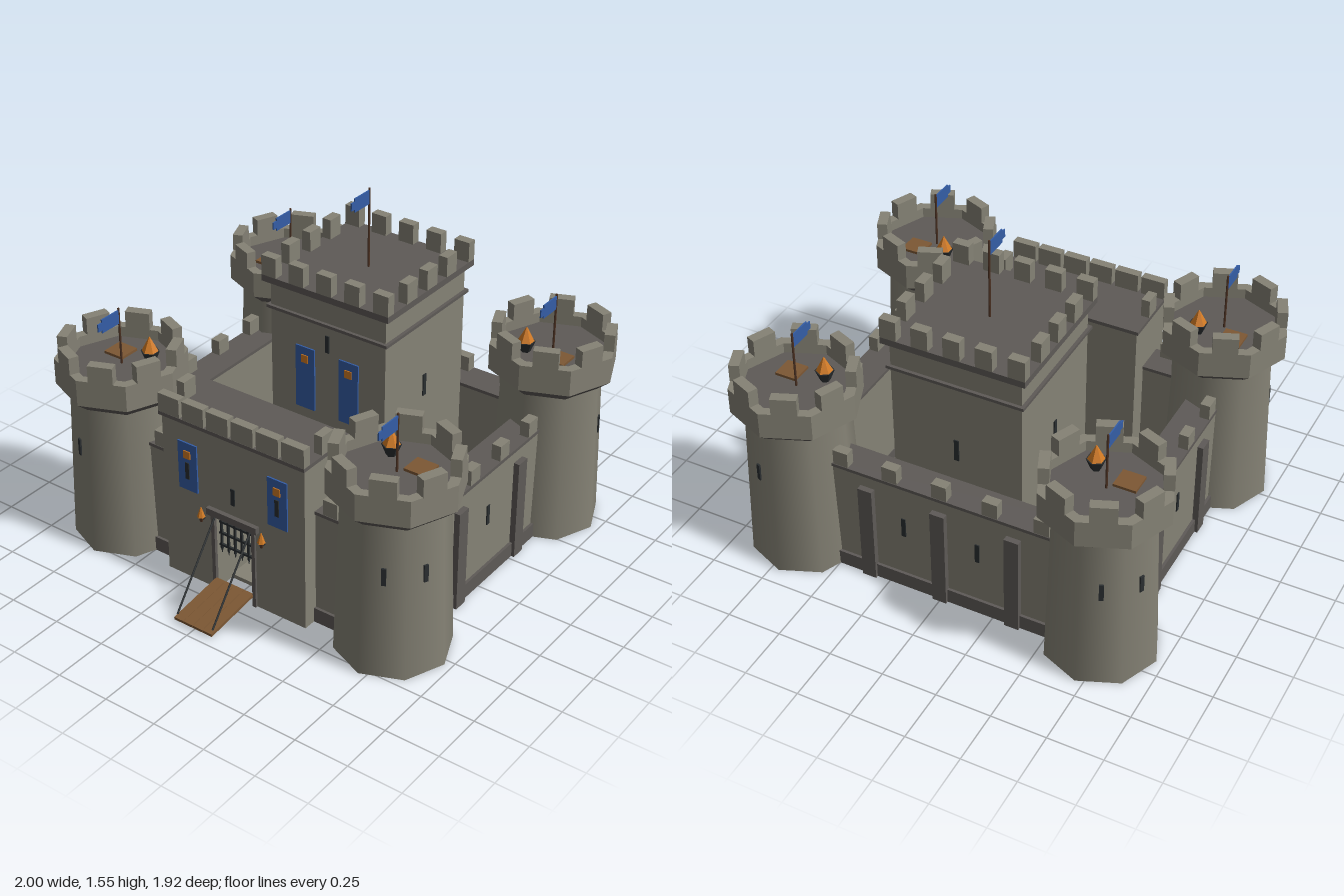
import * as THREE from 'three';

const mat = (name, color, opts = {}) => Object.assign(new THREE.MeshStandardMaterial({ color, ...opts }), { name });

export function createModel() {
  const stone = mat('stone', 0x858275);
  const dark = mat('dark stone', 0x5e5a57);
  const iron = mat('iron', 0x2a2e30);
  const wood = mat('wood', 0x7d5834);
  const darkWood = mat('dark wood', 0x4c3223);
  const blue = mat('blue cloth', 0x345da6);
  const orange = mat('orange', 0xd07a24);
  blue.side = THREE.DoubleSide;

  const root = new THREE.Group();
  root.name = 'castle';
  const group = (name, x = 0, y = 0, z = 0, parent = root) => {
    const g = new THREE.Group();
    g.name = name;
    g.position.set(x, y, z);
    parent.add(g);
    return g;
  };
  const add = (parent, name, geo, m, x = 0, y = 0, z = 0) => {
    const mesh = new THREE.Mesh(geo, m);
    mesh.name = name;
    mesh.position.set(x, y, z);
    parent.add(mesh);
    return mesh;
  };
  // Box given by its centre in x and z and its bottom and top in y
  const box = (parent, name, m, x, z, w, d, y0, y1) =>
    add(parent, name, new THREE.BoxGeometry(w, y1 - y0, d), m, x, (y0 + y1) / 2, z);
  const cyl = (parent, name, m, x, z, r0, r1, y0, y1, n = 8, flat = true) => {
    let geo = new THREE.CylinderGeometry(r1, r0, y1 - y0, n);
    if (flat) { geo = geo.toNonIndexed(); geo.computeVertexNormals(); }
    return add(parent, name, geo, m, x, (y0 + y1) / 2, z);
  };

  // Octagonal ring standing on y = 0
  const octRing = (outer, inner, h) => {
    const pts = r => Array.from({ length: 8 }, (_, i) =>
      new THREE.Vector2(r * Math.cos(i * Math.PI / 4), r * Math.sin(i * Math.PI / 4)));
    const s = new THREE.Shape(pts(outer));
    s.holes.push(new THREE.Path(pts(inner)));
    return new THREE.ExtrudeGeometry(s, { depth: h, bevelEnabled: false }).rotateX(-Math.PI / 2);
  };

  // Pole with a flag flying towards +z
  const flag = (parent, x, z, y0, y1) => {
    cyl(parent, 'flagPole', darkWood, x, z, 0.005, 0.005, y0, y1, 6);
    const s = new THREE.Shape([[0, 0], [0.108, 0], [0.108, 0.014], [0.132, 0.014], [0.132, 0.05], [0.108, 0.05], [0.108, 0.064], [0, 0.064]]
      .map(p => new THREE.Vector2(...p)));
    const geo = new THREE.ExtrudeGeometry(s, { depth: 0.006, bevelEnabled: false }).rotateY(-Math.PI / 2);
    add(parent, 'flag', geo, blue, x + 0.003, y1 - 0.072, z);
  };

  // Hanging banner facing +z with an orange emblem
  const banner = (parent, x, z, y0, y1) => {
    box(parent, 'banner', blue, x, z, 0.1, 0.009, y0, y1);
    box(parent, 'bannerEmblem', orange, x, z + 0.006, 0.036, 0.006, y1 - 0.075, y1 - 0.038);
  };

  // Ground
  box(root, 'courtyard', stone, 0, -0.075, 1.5, 1.3, 0.001, 0.02);

  // Corner towers
  for (const sx of [-1, 1]) for (const sz of [-1, 1]) {
    const t = group('tower', sx * 0.714, 0, sz > 0 ? 0.528 : -0.672);
    cyl(t, 'towerBody', stone, 0, 0, 0.252, 0.228, 0, 0.72, 8, false);
    cyl(t, 'towerFlare', dark, 0, 0, 0.226, 0.286, 0.715, 0.766);
    add(t, 'towerParapet', octRing(0.286, 0.24, 0.122), stone, 0, 0.766, 0);
    cyl(t, 'towerFloor', dark, 0, 0, 0.245, 0.245, 0.77, 0.84);
    for (let i = 0; i < 8; i++) {
      const a = (i + 0.5) * Math.PI / 4;
      const m = box(t, 'towerMerlon', stone, Math.sin(a) * 0.243, Math.cos(a) * 0.243, 0.11, 0.046, 0.887, 0.967);
      m.rotation.y = a;
    }
    for (const deg of [22.5, 67.5]) {
      const a = Math.atan2(sx * Math.sin(deg * Math.PI / 180), sz * Math.cos(deg * Math.PI / 180));
      box(t, 'arrowSlit', iron, Math.sin(a) * 0.218, Math.cos(a) * 0.218, 0.02, 0.014, 0.448, 0.528).rotation.y = a;
    }
    box(t, 'trapdoor', wood, sx * 0.067, -sz * 0.07, 0.1, 0.1, 0.838, 0.852);
    const bx = -sx * 0.087, bz = -sz * 0.088;
    cyl(t, 'brazierBowl', iron, bx, bz, 0.022, 0.042, 0.84, 0.89, 6);
    cyl(t, 'brazierFlame', orange, bx, bz, 0.037, 0.002, 0.89, 0.957, 6);
    flag(t, 0, 0, 0.84, 1.107);
  }

  // Curtain wall running along local x, outer side towards local +z
  const wall = (name, len, x, z, ry, merlons, buttresses, slits) => {
    const g = group(name, x, 0, z);
    g.rotation.y = ry;
    box(g, 'wallBody', stone, 0, 0, len, 0.14, 0, 0.54);
    box(g, 'wallWalk', dark, 0, 0, len, 0.15, 0.538, 0.553);
    box(g, 'wallPlinth', dark, 0, 0.005, len, 0.156, 0, 0.07);
    for (const p of merlons) box(g, 'wallMerlon', stone, p, 0.05, 0.07, 0.045, 0.553, 0.625);
    for (const p of buttresses) box(g, 'buttress', dark, p, 0.072, 0.067, 0.05, 0, 0.482);
    for (const p of slits) box(g, 'arrowSlit', iron, p, 0.071, 0.02, 0.008, 0.28, 0.375);
  };
  const sideMerlons = [-0.345, -0.115, 0.115, 0.345];
  wall('rightWall', 1.1, -0.71, -0.072, -Math.PI / 2, sideMerlons, [-0.233, 0.233], [0]);
  wall('leftWall', 1.1, 0.71, -0.072, Math.PI / 2, sideMerlons, [-0.233, 0.233], [0]);
  wall('backWall', 1.3, 0, -0.677, Math.PI, [-0.47, -0.235, 0, 0.235, 0.47], [-0.345, 0, 0.345], [-0.175, 0.175]);
  for (const s of [-1, 1]) wall('frontWall', 0.3, s * 0.5, 0.53, 0, [-s * 0.055], [], []);

  // Keep
  const keep = group('keep', 0, 0, -0.288);
  box(keep, 'keepBody', stone, 0, 0, 0.6, 0.6, 0, 1.155);
  box(keep, 'stringCourse', dark, 0, 0, 0.63, 0.63, 1.022, 1.036);
  box(keep, 'keepCornice', dark, 0, 0, 0.656, 0.656, 1.152, 1.182);
  for (const s of [-1, 1]) {
    for (let i = -2; i <= 2; i++) box(keep, 'keepMerlon', stone, i * 0.145, s * 0.306, 0.076, 0.044, 1.182, 1.275);
    for (let i = -1; i <= 1; i++) box(keep, 'keepMerlon', stone, s * 0.306, i * 0.15, 0.044, 0.076, 1.182, 1.275);
    box(keep, 'keepSlit', iron, s * 0.301, 0, 0.008, 0.022, 0.645, 0.75);
    banner(keep, s * 0.115, 0.303, 0.58, 0.884);
  }
  box(keep, 'keepSlit', iron, 0, 0.301, 0.02, 0.008, 0.893, 0.975);
  box(keep, 'keepSlit', iron, 0, -0.301, 0.022, 0.008, 0.645, 0.75);
  box(keep, 'keepDoor', wood, 0, 0.305, 0.14, 0.016, 0.02, 0.27);
  box(keep, 'doorLintel', darkWood, 0, 0.307, 0.17, 0.02, 0.27, 0.29);
  box(keep, 'doorAwning', wood, 0, 0.365, 0.23, 0.085, 0.352, 0.372);
  flag(keep, 0, 0, 1.18, 1.552);

  // Gatehouse with an open passage
  const gate = group('gatehouse');
  const face = new THREE.Shape([[-0.37, 0], [-0.1, 0], [-0.1, 0.385], [0.1, 0.385], [0.1, 0], [0.37, 0], [0.37, 0.79], [-0.37, 0.79]]
    .map(p => new THREE.Vector2(...p)));
  add(gate, 'gatehouseBody', new THREE.ExtrudeGeometry(face, { depth: 0.3, bevelEnabled: false }), stone, 0, 0, 0.372);
  box(gate, 'gatehouseCornice', dark, 0, 0.525, 0.758, 0.322, 0.785, 0.802);
  for (let i = 0; i < 6; i++) box(gate, 'gatehouseMerlon', stone, (i - 2.5) * 0.1285, 0.665, 0.112, 0.04, 0.802, 0.889);
  for (const s of [-1, 1]) {
    box(gate, 'gatehouseMerlon', stone, s * 0.357, 0.525, 0.04, 0.075, 0.802, 0.889);
    banner(gate, s * 0.235, 0.675, 0.457, 0.69);
    box(gate, 'gatehouseSlit', iron, s * 0.235, 0.68, 0.02, 0.008, 0.515, 0.595);
    box(gate, 'gateJamb', dark, s * 0.107, 0.675, 0.018, 0.016, 0, 0.385);
    cyl(gate, 'torchHolder', darkWood, s * 0.16, 0.692, 0.006, 0.012, 0.335, 0.362, 6);
    cyl(gate, 'torchFlame', orange, s * 0.16, 0.692, 0.018, 0.002, 0.36, 0.408, 6);
    box(gate, 'torchBracket', iron, s * 0.16, 0.68, 0.01, 0.024, 0.34, 0.35);
    // Chains
    const chain = new THREE.LineCurve3(new THREE.Vector3(s * 0.094, 0.39, 0.675), new THREE.Vector3(s * 0.094, 0.035, 0.945));
    add(gate, 'chain', new THREE.TubeGeometry(chain, 1, 0.005, 6), iron);
  }
  box(gate, 'gatehouseSlit', iron, 0, 0.673, 0.02, 0.008, 0.47, 0.55);
  box(gate, 'gateLintel', dark, 0, 0.68, 0.265, 0.026, 0.385, 0.417);

  // Raised portcullis
  for (let i = 0; i < 6; i++) {
    const x = (i - 2.5) * 0.036;
    box(gate, 'portcullisBar', iron, x, 0.645, 0.009, 0.01, 0.2, 0.385);
    cyl(gate, 'portcullisSpike', iron, x, 0.645, 0.001, 0.006, 0.178, 0.2, 4);
  }
  for (const y of [0.22, 0.28, 0.337, 0.375]) box(gate, 'portcullisRail', iron, 0, 0.645, 0.2, 0.01, y - 0.005, y + 0.005);

  // Lowered drawbridge
  const bridge = group('drawbridge', 0, 0.036, 0.818);
  bridge.rotation.x = 0.13;
  for (let i = 0; i < 4; i++) box(bridge, 'plank', wood, (i - 1.5) * 0.0505, 0, 0.049, 0.285, -0.006, 0.008);
  for (const z of [-0.09, 0.06]) box(bridge, 'crossBeam', darkWood, 0, z, 0.19, 0.015, -0.013, -0.004);

  // Well
  const well = group('well', -0.37, 0.02, 0.13);
  add(well, 'wellRing', octRing(0.072, 0.056, 0.07), stone);
  cyl(well, 'water', blue, 0, 0, 0.058, 0.058, 0, 0.05);
  for (const s of [-1, 1]) box(well, 'wellPost', wood, s * 0.066, 0, 0.012, 0.012, 0, 0.16);
  box(well, 'wellBeam', darkWood, 0, 0, 0.17, 0.018, 0.15, 0.168);

  // Courtyard props
  box(root, 'crate', wood, -0.52, 0.2, 0.09, 0.09, 0.02, 0.1);
  box(root, 'smallCrate', darkWood, -0.52, 0.2, 0.05, 0.05, 0.1, 0.14);
  for (const [x, z] of [[-0.415, -0.465], [0.41, 0.29]]) {
    const barrel = new THREE.LatheGeometry([[0, 0], [0.024, 0], [0.031, 0.035], [0.024, 0.07], [0, 0.07]]
      .map(p => new THREE.Vector2(...p)), 8);
    add(root, 'barrel', barrel, darkWood, x, 0.02, z);
  }
  const rack = group('weaponRack', -0.51, 0.02, -0.235);
  box(rack, 'rackRail', darkWood, 0, 0, 0.125, 0.01, 0.06, 0.07);
  for (let i = 0; i < 5; i++) box(rack, 'rackSpear', i % 4 ? iron : darkWood, (i - 2) * 0.027, 0, 0.008, 0.008, 0, i % 4 ? 0.12 : 0.08);
  const dummy = group('trainingDummy', 0.445, 0.02, -0.33);
  box(dummy, 'dummyPost', darkWood, 0, 0, 0.014, 0.014, 0, 0.15);
  box(dummy, 'dummyArms', darkWood, 0, 0, 0.11, 0.012, 0.095, 0.107);
  box(dummy, 'dummyBody', wood, 0, 0, 0.04, 0.03, 0.06, 0.12);

  return root;
}
